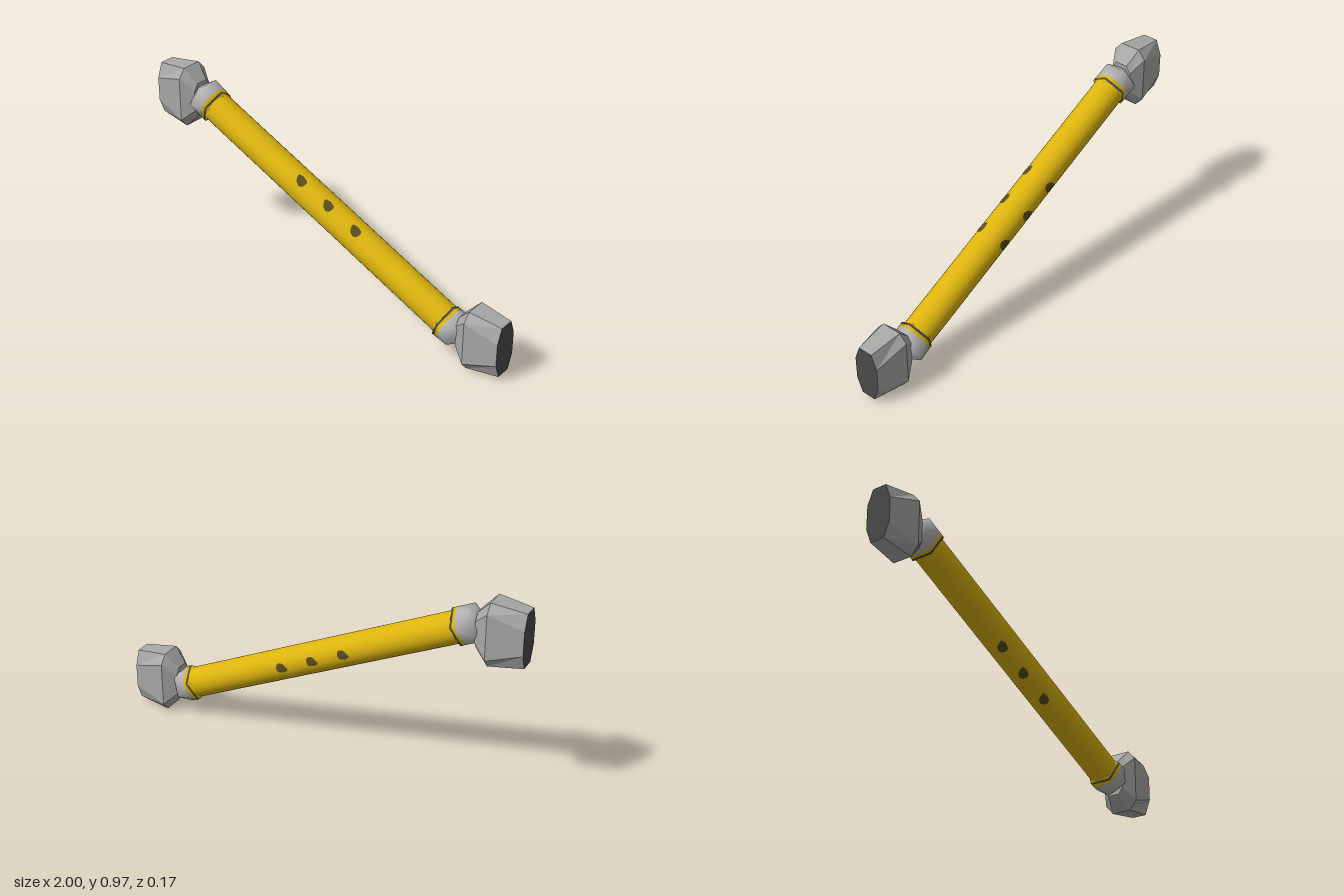
import * as THREE from 'three';

const mat = (name, color) => {
  const m = new THREE.MeshStandardMaterial({ color });
  m.name = name;
  return m;
};

// Skin consecutive loops of points [x, y, z] that run from y towards z
function loft(sections) {
  const n = sections[0].length;
  const index = [];
  for (let s = 0; s < sections.length - 1; s++) {
    for (let i = 0; i < n; i++) {
      const a = s * n + i, b = s * n + (i + 1) % n;
      index.push(a, b, a + n, b, b + n, a + n);
    }
  }
  const g = new THREE.BufferGeometry();
  g.setAttribute('position', new THREE.Float32BufferAttribute(sections.flat(2), 3));
  g.setIndex(index);
  return g;
}

function flat(g) {
  const f = g.toNonIndexed();
  f.computeVertexNormals();
  return f;
}

// Smooth normals pointing away from a centre on the x axis
function round(g, cx) {
  const p = g.attributes.position, v = new THREE.Vector3(), normals = [];
  for (let i = 0; i < p.count; i++) {
    v.fromBufferAttribute(p, i);
    v.x -= cx;
    normals.push(...v.normalize().toArray());
  }
  g.setAttribute('normal', new THREE.Float32BufferAttribute(normals, 3));
  return g;
}

export function createModel() {
  const yellow = mat('yellow', 0xdcb40e);
  const grey = mat('grey', 0xa8a8a6);
  const ballGrey = mat('light grey', 0xb4b4b4);
  const dark = mat('dark grey', 0x4a4a4a);
  const spotColor = mat('dark olive', 0x574d1e);

  const model = new THREE.Group();
  model.name = 'jointedBar';
  const add = (parent, name, geometry, material) => {
    const m = new THREE.Mesh(geometry, material);
    m.name = name;
    parent.add(m);
    return m;
  };

  // Sloping arm: local x runs along the tube
  const half = 0.748, R = 0.075;
  const arm = new THREE.Group();
  arm.name = 'arm';
  arm.position.y = 0.49;
  arm.rotation.z = -THREE.MathUtils.degToRad(24.9);
  model.add(arm);
  add(arm, 'tube', new THREE.CylinderGeometry(R, R, half * 2, 32).rotateZ(Math.PI / 2), yellow);

  // Three rows of three spots, curved to the tube
  function spot(x0, degrees) {
    const g = new THREE.PlaneGeometry(2, 2, 2, 8);
    const p = g.attributes.position;
    for (let i = 0; i < p.count; i++) {
      const u = p.getX(i), v = p.getY(i);
      const width = 0.031 * Math.sqrt(Math.max(0, 1 - Math.pow(Math.abs(v), 3))) * (0.85 + 0.25 * v);
      const t = THREE.MathUtils.degToRad(degrees) - v * 0.33;
      const r = R + 0.0015;
      p.setXYZ(i, x0 + u * width - v * 0.006, r * Math.cos(t), r * Math.sin(t));
    }
    g.computeVertexNormals();
    return g;
  }
  for (const degrees of [34, 152, 274]) {
    for (const x of [-0.165, 0.01, 0.186]) add(arm, 'spot', spot(x, degrees), spotColor);
  }

  // Faceted ball joint: two staggered pentagons between two poles
  const r = 0.09, gap = r, cx = half + gap / 2, poleOut = gap / 2 + r * 0.62;
  const corner = (k, far) => {
    const t = (k + (far ? 0.5 : 0)) * Math.PI * 0.4;
    return new THREE.Vector3(half + (far ? gap : 0), r * Math.cos(t), r * Math.sin(t));
  };
  const slice = f => {
    const loop = [];
    for (let k = 0; k < 5; k++) {
      loop.push(corner(k, false).lerp(corner(k - 1, true), f).toArray());
      loop.push(corner(k, false).lerp(corner(k, true), f).toArray());
    }
    return loop;
  };
  const pole = x => Array.from({ length: 10 }, () => [x, 0, 0]);
  const ballBand = sections => round(loft(sections), cx);

  for (const side of [1, -1]) {
    const joint = new THREE.Group();
    joint.name = side > 0 ? 'leftJoint' : 'rightJoint';
    if (side < 0) joint.rotation.y = Math.PI;
    arm.add(joint);
    add(joint, 'jointInnerCap', ballBand([pole(cx - poleOut), slice(0)]), yellow);
    add(joint, 'jointDarkRing', ballBand([slice(0), slice(0.12)]), dark);
    add(joint, 'jointYellowRing', ballBand([slice(0.12), slice(0.3)]), yellow);
    add(joint, 'jointBall', ballBand([slice(0.3), slice(1), pole(cx + poleOut)]), ballGrey);
  }

  // Chamfered end blocks: half depth, half height, half top width, half side height
  const octagon = (x, hz, hy, tz, sy) => [
    [x, hy, -tz], [x, hy, tz], [x, sy, hz], [x, -sy, hz],
    [x, -hy, tz], [x, -hy, -tz], [x, -sy, -hz], [x, sy, -hz],
  ];
  const centre = x => Array.from({ length: 8 }, () => [x, 0, 0]);
  const inner = octagon(0.772, 0.052, 0.085, 0.03, 0.05);
  const middle = octagon(0.836, 0.087, 0.153, 0.05, 0.11);
  const end = octagon(1, 0.065, 0.131, 0.037, 0.058);
  for (const side of [1, -1]) {
    const block = new THREE.Group();
    block.name = side > 0 ? 'leftEndBlock' : 'rightEndBlock';
    block.position.y = side > 0 ? 0.157 : 0.823;
    if (side < 0) block.rotation.y = Math.PI;
    model.add(block);
    add(block, 'blockBody', flat(loft([centre(0.772), inner, middle, end])), grey);
    add(block, 'blockEndFace', flat(loft([end, centre(1)])), dark);
  }
  return model;
}
